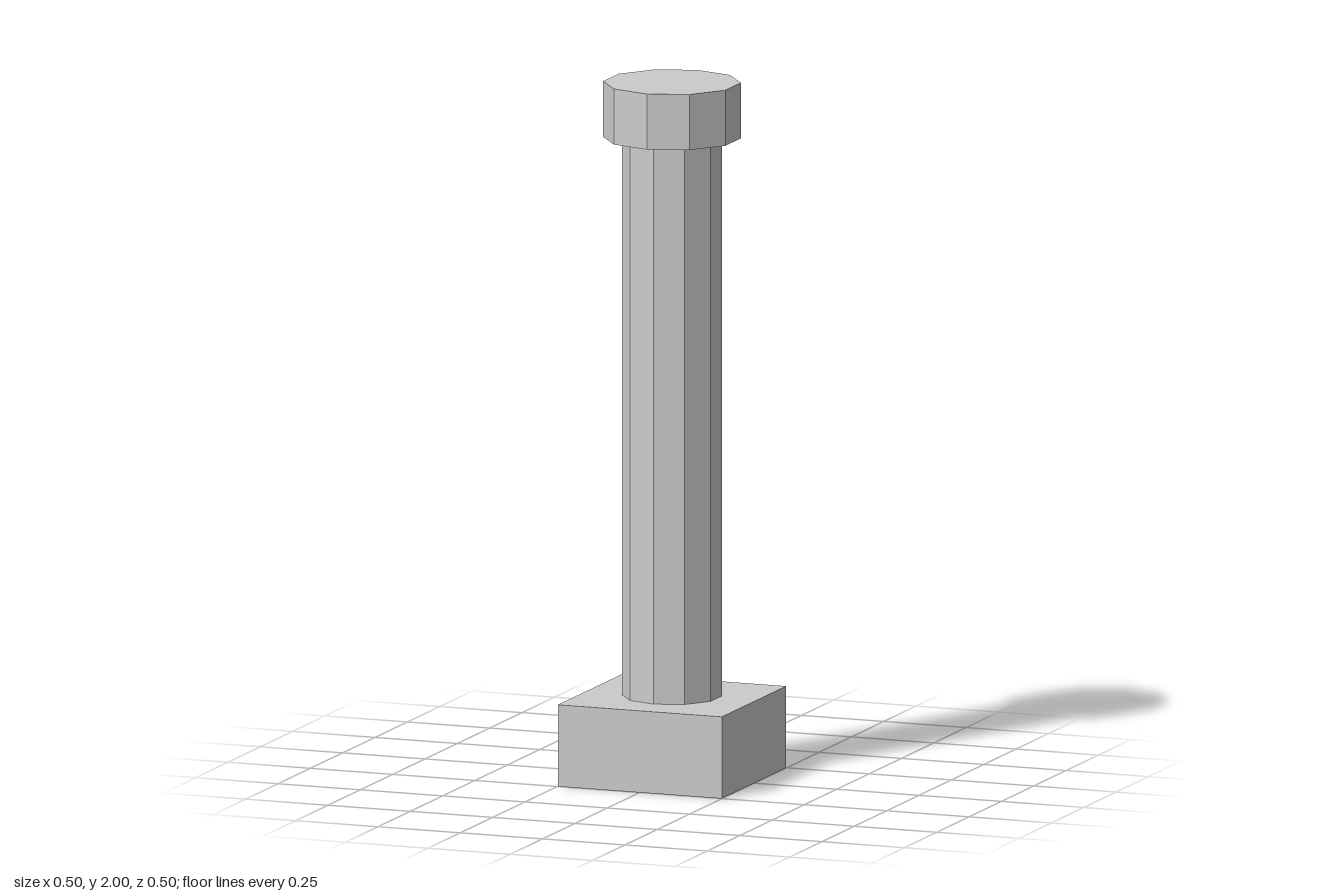
import * as THREE from 'three';

const SIDES = 10;
const BASE_TOP = 0.235;
const CAP_BOTTOM = 1.84;
const HEIGHT = 2;

export function createModel() {
  const model = new THREE.Group();
  model.name = 'column';
  const material = new THREE.MeshStandardMaterial({ color: 0xcccccc, flatShading: true });

  // Adds a part spanning the given heights
  const addPart = (name, geometry, bottom, top) => {
    const mesh = new THREE.Mesh(geometry, material);
    mesh.name = name;
    mesh.position.y = (bottom + top) / 2;
    model.add(mesh);
  };
  const prism = (radius, height) => new THREE.CylinderGeometry(radius, radius, height, SIDES);

  // Square plinth
  addPart('base', new THREE.BoxGeometry(0.498, BASE_TOP, 0.498), 0, BASE_TOP);
  // Ten-sided shaft
  addPart('shaft', prism(0.141, CAP_BOTTOM - BASE_TOP), BASE_TOP, CAP_BOTTOM);
  // Wider ten-sided cap
  addPart('capital', prism(0.195, HEIGHT - CAP_BOTTOM), CAP_BOTTOM, HEIGHT);

  return model;
}
